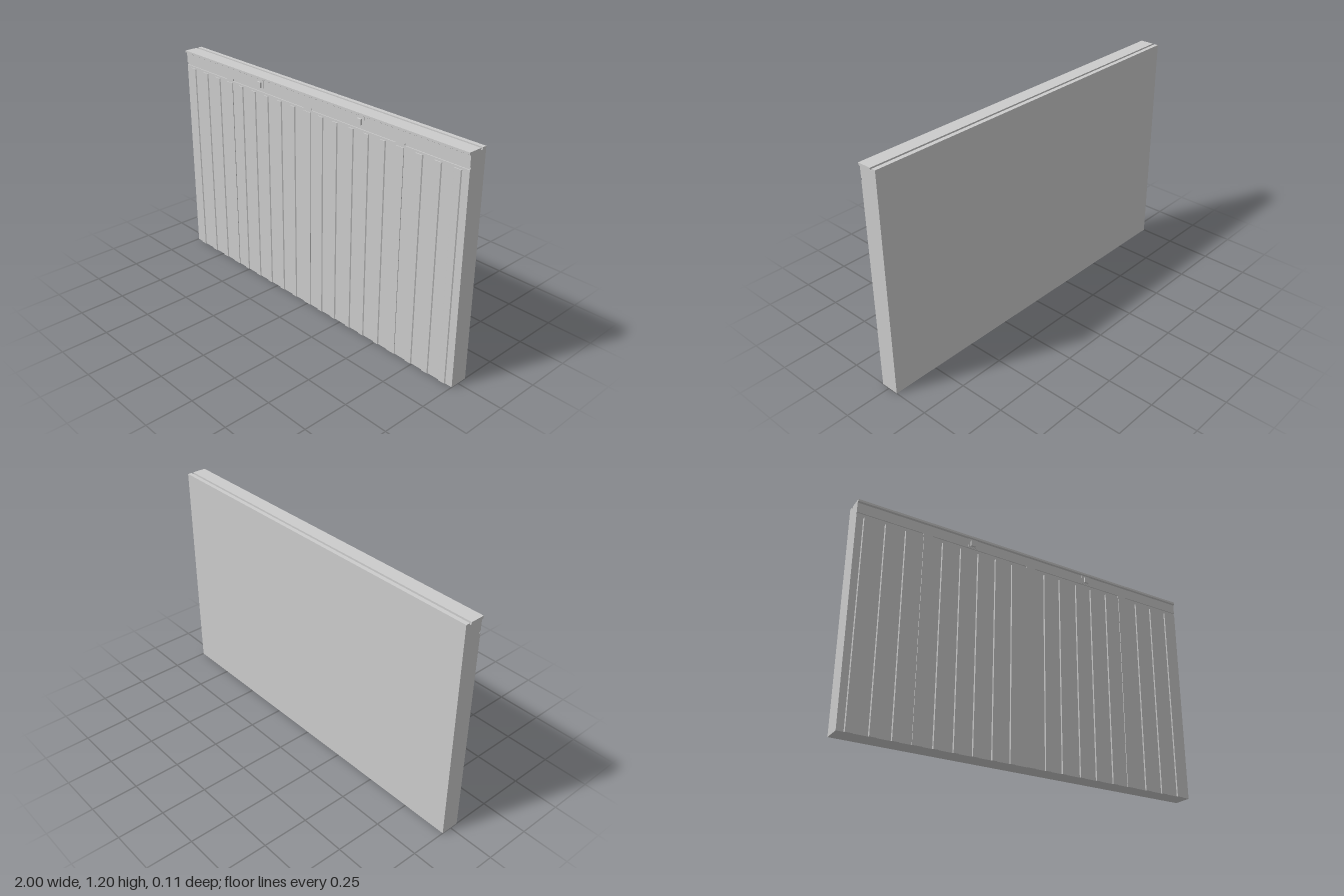
import * as THREE from 'three';

const FACE = 0.045, BACK = -0.055, TOP = 1.2;

export function createModel() {
  const group = new THREE.Group();
  const mat = new THREE.MeshStandardMaterial({ color: 0xcccccc, flatShading: true });

  const add = (geo, name) => {
    const mesh = new THREE.Mesh(geo, mat);
    mesh.name = name;
    group.add(mesh);
    return mesh;
  };
  const box = (name, x0, x1, y0, y1, z0, z1) =>
    add(new THREE.BoxGeometry(x1 - x0, y1 - y0, z1 - z0), name)
      .position.set((x0 + x1) / 2, (y0 + y1) / 2, (z0 + z1) / 2);

  // Panel section: (z, y) outline extruded along x, with top slot, front lip and optional face groove
  const panel = (x0, x1, grooved) => {
    const pts = [[BACK, 0], [FACE, 0]];
    if (grooved) pts.push([FACE, 1.118], [FACE - 0.005, 1.118], [FACE - 0.005, 1.13], [FACE, 1.13]);
    pts.push([FACE, 1.184], [0.054, 1.189], [0.054, TOP], [-0.021, TOP], [-0.021, 1.19],
      [-0.033, 1.19], [-0.033, TOP], [BACK, TOP]);
    const shape = new THREE.Shape(pts.map(([z, y]) => new THREE.Vector2(-z, y)));
    const geo = new THREE.ExtrudeGeometry(shape, { depth: x1 - x0, bevelEnabled: false });
    geo.rotateY(Math.PI / 2);
    geo.translate(x0, 0, 0);
    add(geo, grooved ? 'groovedPanel' : 'plainPanel');
  };

  // Wall body: the groove is interrupted above each post
  const posts = [-0.615, -0.003, 0.61];
  let start = -1;
  for (const x of posts) {
    panel(start, x - 0.027, true);
    panel(x - 0.027, x + 0.027, false);
    start = x + 0.027;
    box('post', x - 0.025, x + 0.025, 0, 1.107, FACE - 0.01, 0.049);
  }
  panel(start, 1, true);

  // Raised ribs with slightly sloped flanks
  const ribs = [-0.942, -0.829, -0.72, -0.519, -0.415, -0.313, -0.209, -0.108,
    0.095, 0.194, 0.303, 0.402, 0.507, 0.725, 0.831, 0.939];
  for (const x of ribs) {
    const w = Math.abs(x) > 0.7 ? 0.022 : 0.018;
    const shape = new THREE.Shape([
      new THREE.Vector2(x - w, -0.04), new THREE.Vector2(x + w, -0.04),
      new THREE.Vector2(x + w, -FACE), new THREE.Vector2(x + w - 0.004, -0.05),
      new THREE.Vector2(x - w + 0.004, -0.05), new THREE.Vector2(x - w, -FACE),
    ]);
    const geo = new THREE.ExtrudeGeometry(shape, { depth: 1.107, bevelEnabled: false });
    geo.rotateX(-Math.PI / 2);
    geo.translate(0, 1.107, 0);
    geo.translate(0, -1.107, 0);
    // Outline y runs opposite to z, so the rotation leaves the front at +z
    add(geo, 'rib');
  }

  // Two small latches under the lip
  for (const s of [-1, 1]) {
    const c = s * 0.36;
    box('latchPlate', c - 0.026, c + 0.026, 1.136, 1.186, FACE - 0.01, 0.047);
    box('latchBlock', c - 0.013, c + 0.013, 1.142, 1.172, FACE - 0.01, 0.057);
  }
  return group;
}
